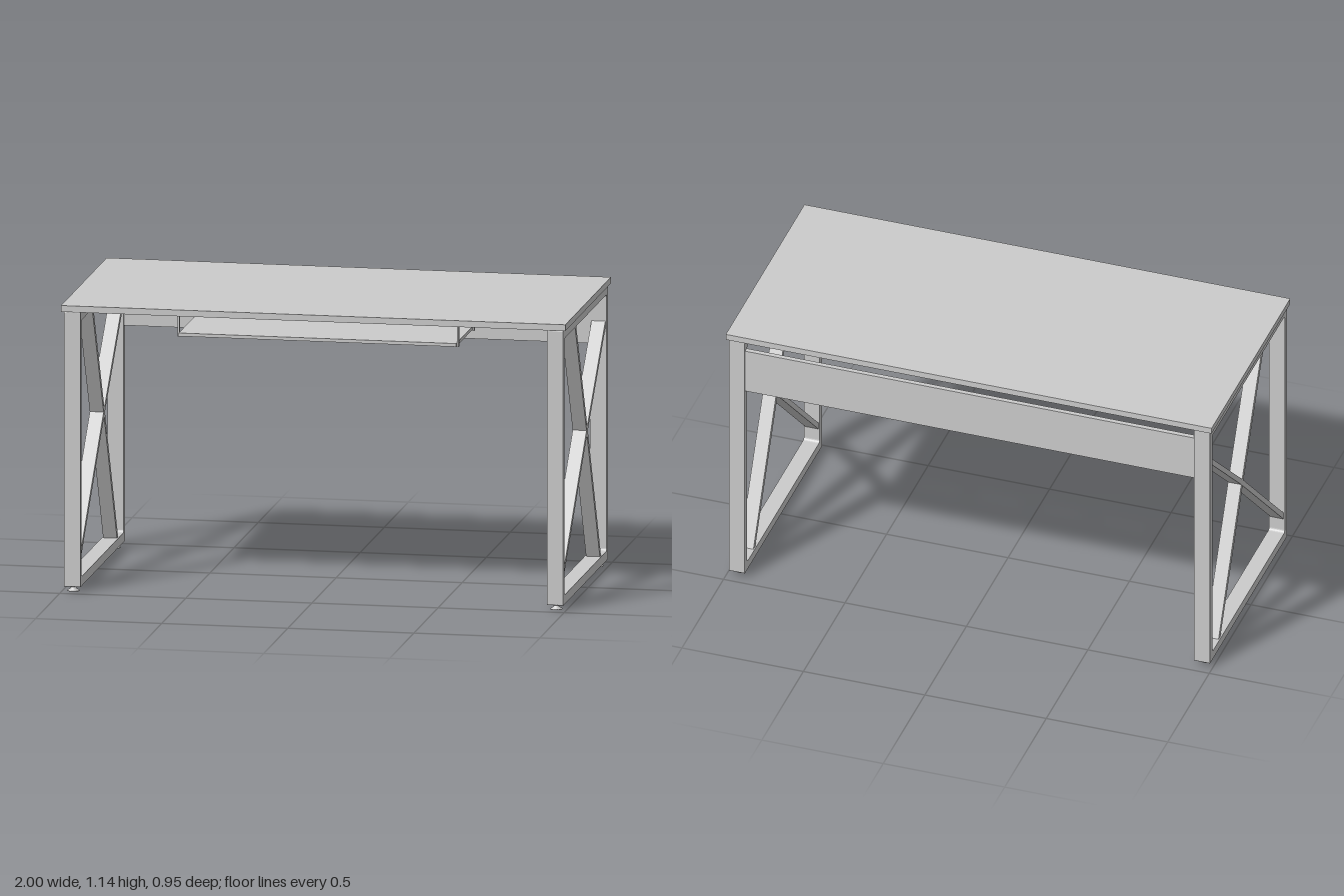
import * as THREE from 'three';

const material = new THREE.MeshStandardMaterial({ color: 0xcccccc });

function add(parent, name, geometry, x = 0, y = 0, z = 0) {
  const mesh = new THREE.Mesh(geometry, material);
  mesh.name = name;
  mesh.position.set(x, y, z);
  parent.add(mesh);
  return mesh;
}

const box = (w, h, d) => new THREE.BoxGeometry(w, h, d);

// Rounded rectangle traced into a Shape or Path
function roundedRect(path, x0, y0, x1, y1, r) {
  path.moveTo(x0 + r, y0);
  path.lineTo(x1 - r, y0);
  path.absarc(x1 - r, y0 + r, r, -Math.PI / 2, 0);
  path.lineTo(x1, y1 - r);
  path.absarc(x1 - r, y1 - r, r, 0, Math.PI / 2);
  path.lineTo(x0 + r, y1);
  path.absarc(x0 + r, y1 - r, r, Math.PI / 2, Math.PI);
  path.lineTo(x0, y0 + r);
  path.absarc(x0 + r, y0 + r, r, Math.PI, Math.PI * 1.5);
  return path;
}

// Flat bar in the side plane between two [z, y] points
function brace(parent, [z0, y0], [z1, y1]) {
  const length = Math.hypot(z1 - z0, y1 - y0);
  const bar = add(parent, 'brace', box(0.055, 0.021, length), 0, (y0 + y1) / 2, (z0 + z1) / 2);
  bar.rotation.x = -Math.atan2(y1 - y0, z1 - z0);
}

function sideFrame(name, x) {
  const side = new THREE.Group();
  side.name = name;
  side.position.x = x;

  // Closed rectangular tube frame
  const outline = roundedRect(new THREE.Shape(), -0.465, 0.02, 0.465, 1.113, 0.004);
  outline.holes.push(roundedRect(new THREE.Path(), -0.435, 0.057, 0.437, 1.077, 0.012));
  const frame = new THREE.ExtrudeGeometry(outline, { depth: 0.065, bevelEnabled: false, curveSegments: 4 });
  frame.translate(0, 0, -0.0325).rotateY(-Math.PI / 2);
  add(side, 'legFrame', frame);

  // Crossed braces meeting at one node
  const node = [-0.058, 0.612];
  for (const end of [[0.187, 1.085], [-0.337, 0.05], [0.445, 0.125], [-0.442, 0.963]]) brace(side, node, end);

  // Levelling feet
  const foot = new THREE.LatheGeometry(
    [[0, 0], [0.023, 0], [0.023, 0.004], [0.011, 0.01], [0.011, 0.022], [0, 0.022]].map(([r, y]) => new THREE.Vector2(r, y)), 20);
  for (const z of [0.436, -0.414]) add(side, 'foot', foot, 0, 0, z);
  return side;
}

export function createModel() {
  const desk = new THREE.Group();
  desk.name = 'desk';

  // Top and back panel
  add(desk, 'tabletop', box(2, 0.025, 0.946), 0, 1.1265, 0);
  add(desk, 'backPanel', box(1.85, 0.188, 0.02), 0, 0.974, -0.45);

  // End frames
  desk.add(sideFrame('leftFrame', 0.9575), sideFrame('rightFrame', -0.9575));

  // Hanging tray with two strap hangers at each end
  const tray = new THREE.Group();
  tray.name = 'keyboardTray';
  add(tray, 'trayBoard', box(1.1, 0.013, 0.36), 0, 1.023, 0.205);
  for (const s of [-1, 1]) {
    for (const z of [0.359, 0.036]) {
      add(tray, 'hanger', box(0.006, 0.103, 0.02), s * 0.554, 1.0635, z);
      add(tray, 'hangerLip', box(0.022, 0.004, 0.02), s * 0.546, 1.0145, z);
    }
  }
  desk.add(tray);
  return desk;
}
